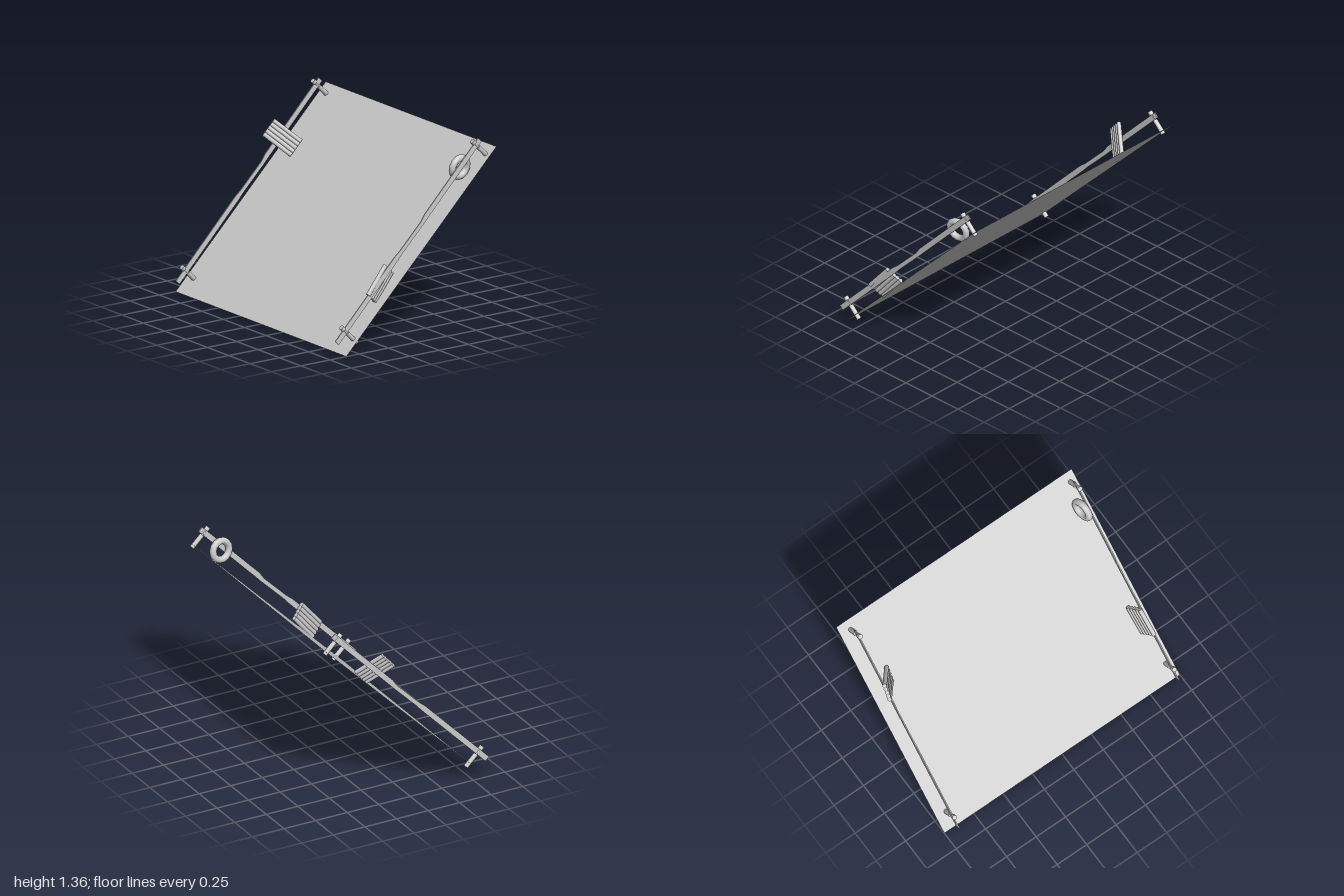
import * as THREE from 'three';

const material = new THREE.MeshStandardMaterial({ color: 0xcccccc });
const thin = new THREE.MeshStandardMaterial({ color: 0xcccccc, side: THREE.DoubleSide });
const UP = new THREE.Vector3(0, 1, 0);

function add(parent, name, geometry, mat = material) {
  const mesh = new THREE.Mesh(geometry, mat);
  mesh.name = name;
  parent.add(mesh);
  return mesh;
}

// Spool-shaped post standing along local z, with a neck that holds the strap
function makePost() {
  const profile = [
    [0, -0.091], [0.017, -0.091], [0.017, 0.022], [0.007, 0.022],
    [0.007, 0.064], [0.018, 0.064], [0.018, 0.091], [0, 0.091],
  ];
  // Doubled corner points keep the rims crisp
  const points = profile.flatMap(([r, y]) => [new THREE.Vector2(r, y), new THREE.Vector2(r, y)]);
  return new THREE.LatheGeometry(points, 12).rotateX(Math.PI / 2);
}

// Thin strap along local y, narrowed and shifted in the middle
function makeStrap() {
  const stations = [ // position along, centre, half width
    [-0.875, 0, 0.02], [-0.15, 0, 0.02], [-0.09, -0.002, 0.015],
    [0.16, -0.006, 0.015], [0.22, 0, 0.02], [0.875, 0, 0.02],
  ];
  const outline = [
    ...stations.map(([v, c, h]) => new THREE.Vector2(c + h, v)),
    ...stations.slice().reverse().map(([v, c, h]) => new THREE.Vector2(c - h, v)),
  ];
  return new THREE.ExtrudeGeometry(new THREE.Shape(outline), { depth: 0.008, bevelEnabled: false })
    .translate(0, 0, -0.004)
    .rotateY(-Math.PI / 2);
}

// Row of parallel round strands, forming a flat bundle
function makeBundle(name, centre, along, stack, count = 5) {
  const bundle = new THREE.Group();
  bundle.name = name;
  const dir = new THREE.Vector3(...along);
  const step = new THREE.Vector3(...stack).setLength(0.029);
  const geometry = new THREE.CylinderGeometry(0.016, 0.016, dir.length(), 10);
  const turn = new THREE.Quaternion().setFromUnitVectors(UP, dir.clone().normalize());
  for (let i = 0; i < count; i++) {
    const strand = add(bundle, 'strand', geometry);
    strand.quaternion.copy(turn);
    strand.position.set(...centre).addScaledVector(step, i - (count - 1) / 2);
  }
  return bundle;
}

export function createModel() {
  const model = new THREE.Group();
  model.name = 'slopedPanel';

  // Thin sloping panel
  const rise = 1.291, run = 1.284;
  const panel = add(model, 'panel', new THREE.PlaneGeometry(2, Math.hypot(rise, run)), thin);
  panel.rotation.x = -Math.atan2(run, rise);
  panel.position.set(0, rise / 2, -0.032);

  // One strap on two posts along each side
  const post = makePost();
  const strap = makeStrap();
  for (const [side, x] of [['right', -0.917], ['left', 0.949]]) {
    const rail = new THREE.Group();
    rail.name = side + 'Rail';
    rail.position.set(x, 0.719, 0.044);
    rail.rotation.x = -0.7715;
    add(rail, 'strap', strap);
    for (const s of [-1, 1]) {
      add(rail, s < 0 ? 'lowerPost' : 'upperPost', post).position.set(0, 0.029 + s * 0.802, -0.044);
    }
    model.add(rail);
  }

  // Strand bundles threaded on the straps
  model.add(makeBundle('rightBundle', [-0.885, 0.993, -0.218], [0.122, -0.148, -0.148], [0.015, 0.115, -0.1]));
  model.add(makeBundle('leftBundle', [0.918, 0.446, 0.264], [-0.012, 0.185, -0.156], [0.05, 0.086, 0.1]));

  // Ring leaning slightly on the left strap
  const ring = add(model, 'ring', new THREE.TorusGeometry(0.069, 0.025, 10, 14));
  ring.position.set(0.911, 1.165, -0.423);
  ring.quaternion.setFromUnitVectors(
    new THREE.Vector3(0, 0, 1), new THREE.Vector3(1, -0.13, -0.13).normalize());

  return model;
}
